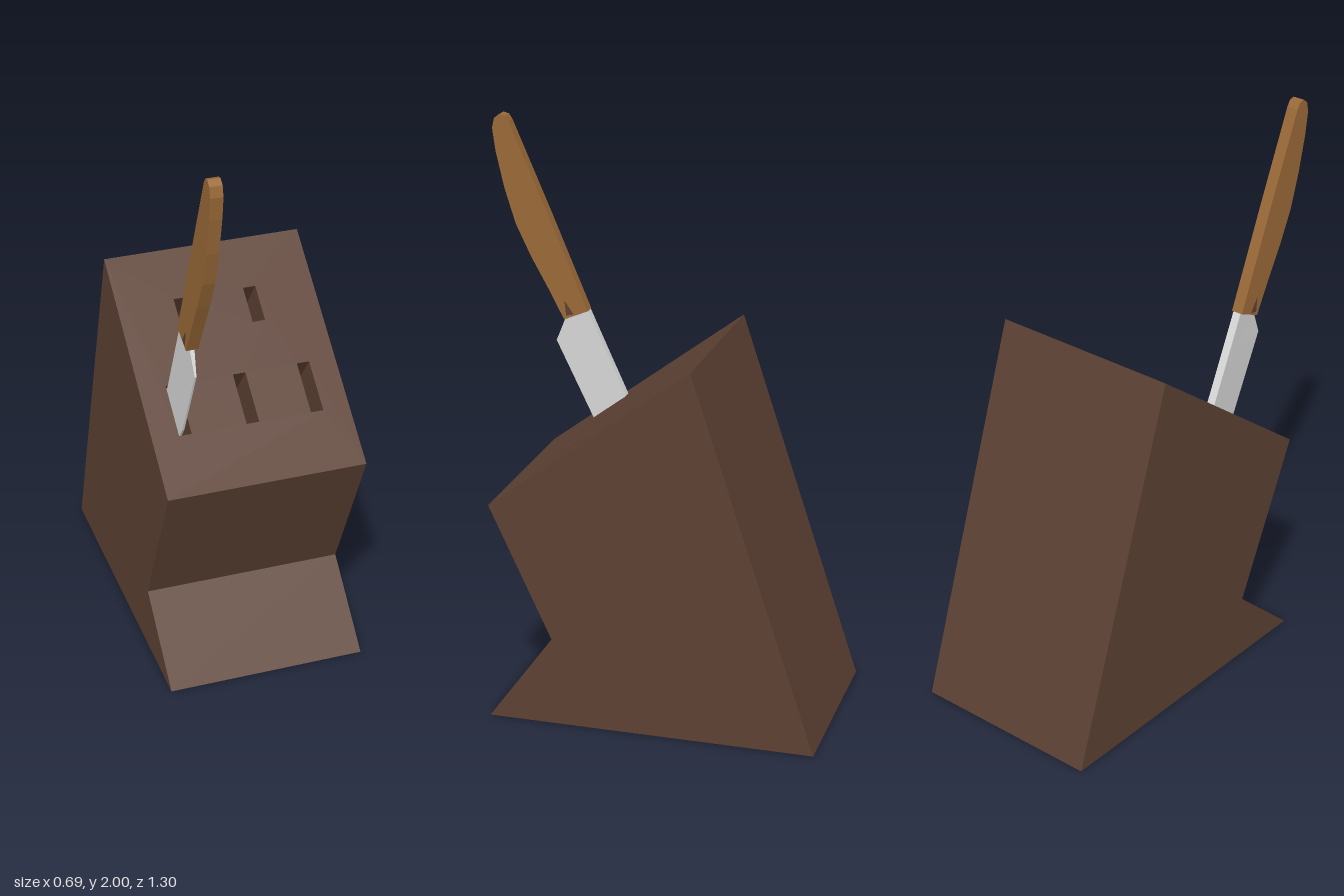
import * as THREE from 'three';

const WIDTH = 0.694;

// Extrudes a side profile of [z, y] points across x, centred on x = 0.
function sideExtrude(points, width) {
  const shape = new THREE.Shape(points.map(([z, y]) => new THREE.Vector2(z, y)));
  const geo = new THREE.ExtrudeGeometry(shape, { depth: width, bevelEnabled: false });
  return geo.translate(0, 0, -width / 2).rotateY(-Math.PI / 2);
}

// Removes the triangles that face along a given direction.
function dropFaces(geo, dir) {
  const p = geo.attributes.position, kept = [], tri = new THREE.Triangle(), n = new THREE.Vector3();
  for (let i = 0; i < p.count; i += 3) {
    tri.setFromAttributeAndIndices(p, i, i + 1, i + 2).getNormal(n);
    if (n.dot(dir) > 0.999) continue;
    for (const v of [tri.a, tri.b, tri.c]) kept.push(v.x, v.y, v.z);
  }
  const out = new THREE.BufferGeometry();
  out.setAttribute('position', new THREE.Float32BufferAttribute(kept, 3));
  out.computeVertexNormals();
  return out;
}

export function createModel() {
  const model = new THREE.Group();
  const material = (name, color) => {
    const m = new THREE.MeshStandardMaterial({ color });
    m.name = name;
    return m;
  };
  const darkWood = material('dark wood', 0x5c4033);
  const handleWood = material('handle wood', 0x996837);
  const steel = material('steel', 0xd8d8d8);
  const add = (parent, name, geo, mat) => {
    const mesh = new THREE.Mesh(geo, mat);
    mesh.name = name;
    parent.add(mesh);
    return mesh;
  };

  // Block body, left open along its sloping top
  const front = [0.49, 0.783], back = [-0.215, 1.315];
  const dz = front[0] - back[0], dy = back[1] - front[1], length = Math.hypot(dz, dy);
  const body = sideExtrude([[0.5, 0], front.slice(), back.slice(), [-0.65, 0], [0.5, 0]].slice(0, 1)
    .concat([[0.235, 0.238], front, back, [-0.65, 0.005]]), WIDTH);
  add(model, 'blockBody', dropFaces(body, new THREE.Vector3(0, dz, dy).normalize()), darkWood);

  // Sloping top: local y runs up the slope, local z points out of it
  const top = new THREE.Group();
  top.name = 'slopingTop';
  top.position.set(0, front[1], front[0]);
  top.rotation.x = -Math.atan2(dz, dy);
  model.add(top);

  const face = new THREE.Shape([
    new THREE.Vector2(-WIDTH / 2, 0), new THREE.Vector2(WIDTH / 2, 0),
    new THREE.Vector2(WIDTH / 2, length), new THREE.Vector2(-WIDTH / 2, length),
  ]);
  const slotWidth = 0.044, slotDepth = 0.172;
  const slots = [
    [-0.232, 0.213, 0.394], [0.004, 0.213, 0.394], [0.232, 0.213, 0.394],
    [-0.126, 0.569, 0.698], [0.122, 0.569, 0.698],
  ];
  for (const [x, low, high] of slots) {
    const w = slotWidth / 2;
    face.holes.push(new THREE.Path([
      new THREE.Vector2(x - w, low), new THREE.Vector2(x - w, high),
      new THREE.Vector2(x + w, high), new THREE.Vector2(x + w, low),
    ]));
    // Slot lining: a box turned inside out, without its outer face
    const lining = new THREE.BoxGeometry(slotWidth, high - low, slotDepth);
    const index = Array.from(lining.index.array);
    lining.setIndex([...index.slice(0, 24), ...index.slice(30)]);
    lining.clearGroups();
    lining.scale(-1, 1, 1).computeVertexNormals();
    lining.translate(x, (low + high) / 2, -slotDepth / 2);
    add(top, 'slot', lining, darkWood);
  }
  add(top, 'topFace', new THREE.ShapeGeometry(face), darkWood);

  // Knife standing in the front slot
  const knife = new THREE.Group();
  knife.name = 'knife';
  knife.position.x = -0.232;
  model.add(knife);

  // Blade, thick at the spine and thin at the cutting edge
  const blade = sideExtrude([
    [0.313, 1.32], [0.4, 1.283], [0.435, 1.2], [0.297, 0.917],
    [0.237, 0.837], [0.115, 0.937], [0.175, 1.017], [0.245, 1.17],
  ], 2);
  const p = blade.attributes.position;
  for (let i = 0; i < p.count; i++) {
    const fromSpine = (p.getZ(i) - 0.313) * 0.91 - (p.getY(i) - 1.32) * 0.414;
    const t = THREE.MathUtils.clamp(fromSpine / 0.16, 0, 1);
    p.setX(i, p.getX(i) * THREE.MathUtils.lerp(0.015, 0.003, t));
  }
  blade.computeVertexNormals();
  add(knife, 'blade', blade, steel);

  // Handle with a straight back and a bowed grip
  add(knife, 'handle', sideExtrude([
    [0.313, 1.32], [0.4, 1.283], [0.456, 1.39], [0.52, 1.505], [0.573, 1.616], [0.612, 1.74],
    [0.642, 1.87], [0.653, 1.95], [0.645, 1.985], [0.625, 2], [0.605, 1.995], [0.592, 1.975],
    [0.456, 1.66],
  ], 0.042), handleWood);

  // Small dark notch on each side of the handle
  add(knife, 'handleNotch', sideExtrude(
    [[0.365, 1.305], [0.392, 1.298], [0.398, 1.352]], 0.044), darkWood);

  return model;
}
